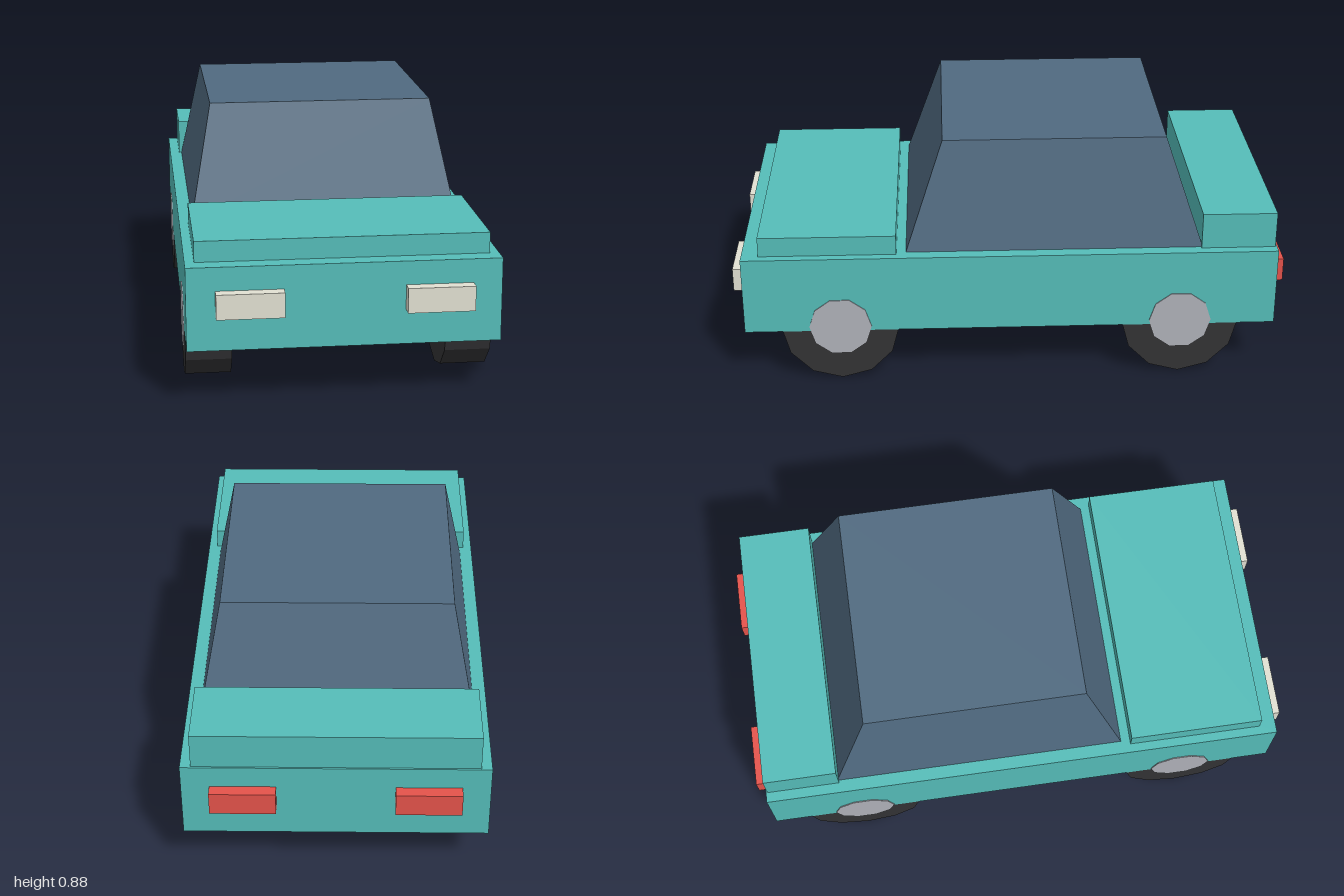
import * as THREE from 'three';

const mat = (color) => new THREE.MeshStandardMaterial({ color, flatShading: true });

export function createModel() {
  const car = new THREE.Group();
  car.name = 'car';
  const paint = mat(0x55bdb9), glass = mat(0x506a80), rubber = mat(0x333335);
  const metal = mat(0xb0b2ba), lamp = mat(0xe2e1d3), red = mat(0xe5534b);

  const add = (name, geometry, material, parent = car) => {
    const mesh = new THREE.Mesh(geometry, material);
    mesh.name = name;
    parent.add(mesh);
    return mesh;
  };
  // Box given by its extents along each axis
  const box = (name, material, [x0, x1], [y0, y1], [z0, z1]) =>
    add(name, new THREE.BoxGeometry(x1 - x0, y1 - y0, z1 - z0), material)
      .position.set((x0 + x1) / 2, (y0 + y1) / 2, (z0 + z1) / 2);

  // Body panels
  box('body', paint, [-0.527, 0.527], [0.197, 0.485], [-0.958, 0.958]);
  box('hood', paint, [-0.495, 0.495], [0.475, 0.557], [0.407, 0.897]);
  box('trunk', paint, [-0.49, 0.49], [0.475, 0.617], [-0.952, -0.686]);

  // Cabin: a box whose upper corners are pulled in
  const cabin = new THREE.BoxGeometry(0.96, 0.397, 1.064);
  const p = cabin.attributes.position;
  for (let i = 0; i < p.count; i++) {
    if (p.getY(i) > 0) p.setXYZ(i, Math.sign(p.getX(i)) * 0.402, p.getY(i), Math.sign(p.getZ(i)) * 0.396);
  }
  cabin.computeVertexNormals();
  add('cabin', cabin, glass).position.set(0, 0.6835, -0.159);

  for (const [side, s] of [['left', 1], ['right', -1]]) {
    // Lamps
    const xs = s > 0 ? [0.203, 0.43] : [-0.43, -0.203];
    box(side + 'Headlight', lamp, xs, [0.317, 0.403], [0.94, 1]);
    box(side + 'TailLight', red, xs, [0.317, 0.403], [-1, -0.94]);

    // Wheels: twelve-sided tyre, ten-sided hub showing on both faces
    for (const [end, z] of [['Front', 0.614], ['Back', -0.614]]) {
      const wheel = new THREE.Group();
      wheel.name = side + end + 'Wheel';
      wheel.position.set(s * 0.447, 0.2145, z);
      add('tyre', new THREE.CylinderGeometry(0.2125, 0.2125, 0.159, 12).rotateZ(Math.PI / 2), rubber, wheel);
      add('hub', new THREE.CylinderGeometry(0.112, 0.112, 0.167, 10).rotateZ(Math.PI / 2), metal, wheel);
      car.add(wheel);
    }
  }
  return car;
}
